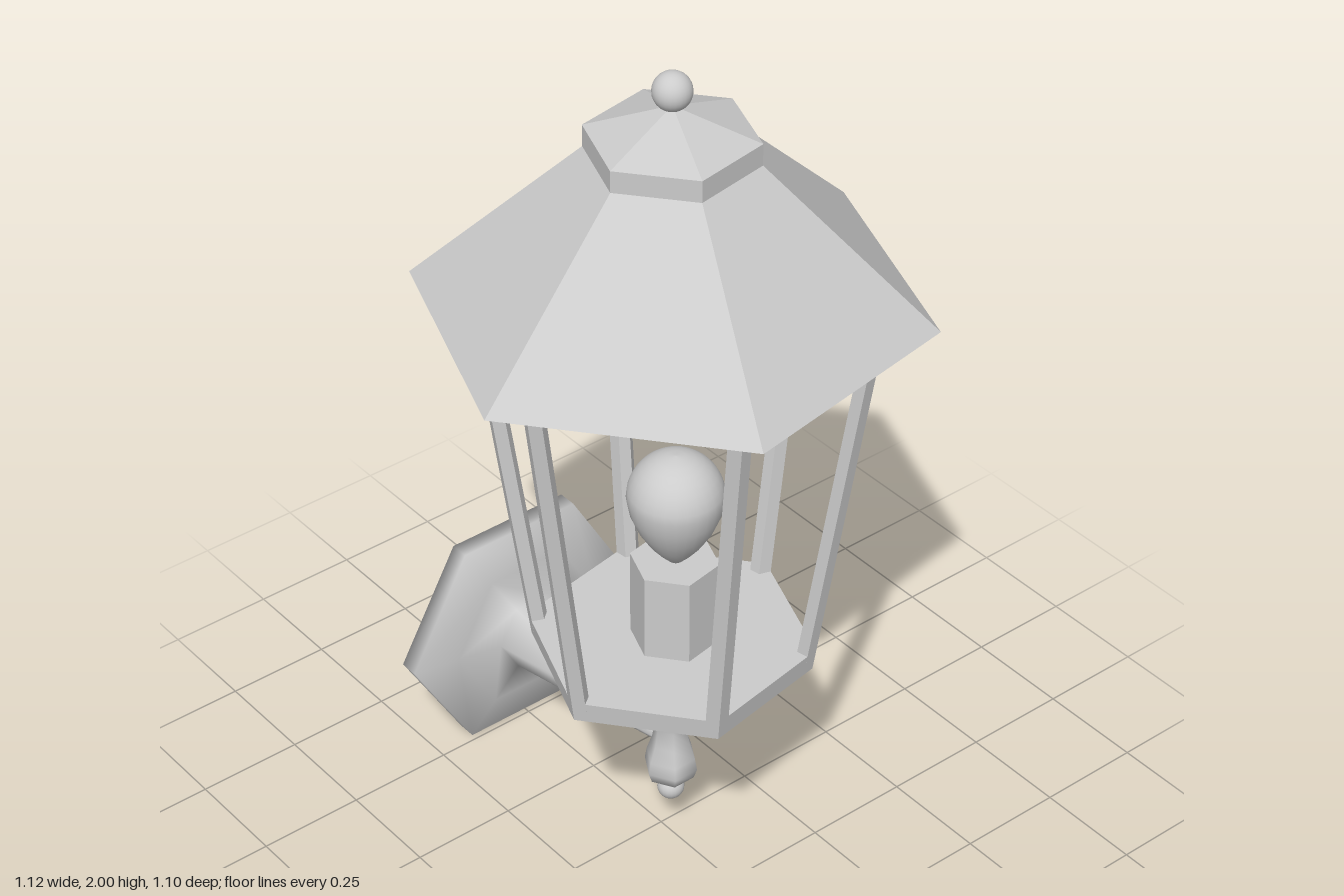
import * as THREE from 'three';

const AXIS = 0.035;                              // x of the lantern's centre line
const TURN = THREE.MathUtils.degToRad(9.5);      // turn of the hexagonal lantern
const Y0 = 0.535, Y1 = 1.44;                     // cage bottom and top
const smooth = new THREE.MeshStandardMaterial({ color: 0xcccccc });
const flat = new THREE.MeshStandardMaterial({ color: 0xcccccc, flatShading: true });

// Corner radius of the flaring cage at height y
const cageRadius = (y) => 0.315 + 0.128 * (y - Y0) / (Y1 - Y0);
const points = (list) => list.map(([r, y]) => new THREE.Vector2(r, y));

export function createModel() {
  const group = new THREE.Group();
  const add = (name, geometry, material, x = AXIS, y = 0, parent = group) => {
    const mesh = new THREE.Mesh(geometry, material);
    mesh.name = name;
    mesh.position.set(x, y, 0);
    parent.add(mesh);
    return mesh;
  };
  // Six-sided frustum between two heights
  const hex = (name, yLow, yHigh, rLow, rHigh, x = AXIS) => add(name,
    new THREE.CylinderGeometry(rHigh, rLow, yHigh - yLow, 6, 1, false, TURN),
    flat, x, (yLow + yHigh) / 2);

  // Roof with collar, cap and ball
  hex('roof', 1.46, 1.81, 0.556, 0.184);
  hex('roofCollar', 1.81, 1.86, 0.184, 0.184);
  hex('roofCap', 1.86, 1.925, 0.184, 0.005);
  add('roofBall', new THREE.SphereGeometry(0.042, 24, 16), smooth, AXIS, 1.96);

  // Cage: floor, top rail and six leaning corner posts
  hex('cageFloor', Y0, 0.587, cageRadius(Y0), cageRadius(0.587));
  const rOut = cageRadius(Y1), rLow = cageRadius(1.4);
  add('cageTopRail', new THREE.LatheGeometry(points([
    [rLow, 1.4], [rOut, Y1], [rOut - 0.032, Y1], [rLow - 0.032, 1.4], [rLow, 1.4],
  ]), 6, TURN), flat);

  const section = new THREE.Shape(points([
    [0, 0], [-0.015, 0.026], [-0.04, 0.013], [-0.04, -0.013], [-0.015, -0.026],
  ]).reverse());
  const post = new THREE.ExtrudeGeometry(section, { depth: Y1 - Y0 - 0.002, bevelEnabled: false });
  post.rotateX(-Math.PI / 2);
  const pos = post.attributes.position;
  for (let i = 0; i < pos.count; i++) {
    const y = pos.getY(i) + Y0 + 0.001;
    pos.setXYZ(i, pos.getX(i) + cageRadius(y), y, pos.getZ(i));
  }
  post.computeVertexNormals();
  for (let i = 0; i < 6; i++) {
    add('cornerPost', post, flat).rotation.y = TURN - Math.PI / 2 + i * Math.PI / 3;
  }

  // Lamp socket and bulb
  hex('lampSocket', 0.58, 0.797, 0.099, 0.099, 0.047);
  const bulb = [[0, 0.795], [0.016, 0.799], [0.036, 0.82], [0.06, 0.85], [0.084, 0.89], [0.1, 0.93]];
  for (let i = 0; i <= 8; i++) {
    const a = i / 8 * Math.PI / 2;
    bulb.push([i === 8 ? 0 : 0.107 * Math.cos(a), 0.968 + 0.107 * Math.sin(a)]);
  }
  add('lightBulb', new THREE.LatheGeometry(points(bulb), 28), smooth, 0.05);

  // Turned stem below the cage, with its ball
  add('stem', new THREE.LatheGeometry(points([
    [0, 0.16], [0.03, 0.165], [0.055, 0.18], [0.063, 0.205], [0.058, 0.235], [0.045, 0.275],
    [0.038, 0.32], [0.045, 0.36], [0.068, 0.405], [0.115, 0.45], [0.175, 0.5], [0.213, 0.536],
  ]), 6), smooth);
  add('stemBall', new THREE.SphereGeometry(0.031, 20, 14), smooth, AXIS, 0.14);

  // Wall plate flowing into the tapering arm
  const wall = new THREE.LatheGeometry(points([
    [0, -0.56], [0.31, -0.56], [0.31, -0.515], [0.2, -0.492], [0.096, -0.47], [0.018, 0.02],
  ]), 6);
  wall.rotateZ(-Math.PI / 2);
  add('wallPlateAndArm', wall, smooth, 0, 0.272);

  return group;
}
